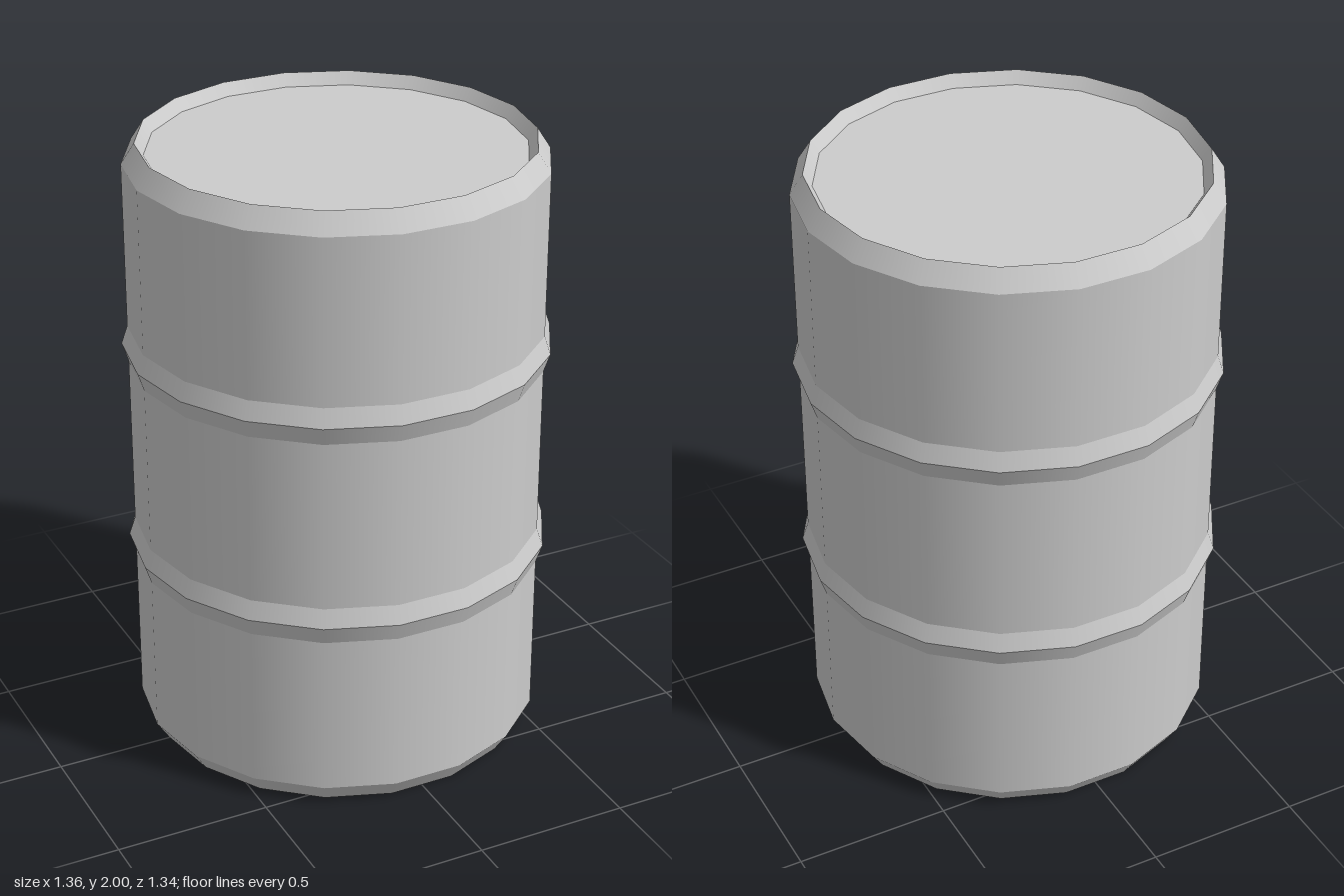
import * as THREE from 'three';

const SIDES = 18;

export function createModel() {
  const model = new THREE.Group();
  model.name = 'barrel';
  const steel = new THREE.MeshStandardMaterial({ color: 0xcccccc });
  steel.name = 'grey steel';

  // Each pair of profile points is its own lathe: smooth around, sharp between bands.
  function addPart(name, profile) {
    const part = new THREE.Group();
    part.name = name;
    for (let i = 0; i < profile.length - 1; i++) {
      const points = [profile[i], profile[i + 1]].map(([r, y]) => new THREE.Vector2(r, y));
      const band = new THREE.Mesh(new THREE.LatheGeometry(points, SIDES, Math.PI / 2), steel);
      band.name = `${name}Band${i + 1}`;
      part.add(band);
    }
    model.add(part);
  }

  const body = 0.66, rim = 0.618, ridge = 0.68;

  // Base disc and bottom chamfer
  addPart('base', [[0, 0], [rim, 0], [body, 0.065]]);

  // Three straight wall sections
  addPart('lowerWall', [[body, 0.065], [body, 0.6]]);
  addPart('middleWall', [[body, 0.72], [body, 1.28]]);
  addPart('upperWall', [[body, 1.4], [body, 1.935]]);

  // Two pointed rolling hoops
  addPart('lowerHoop', [[body, 0.6], [ridge, 0.66], [body, 0.72]]);
  addPart('upperHoop', [[body, 1.28], [ridge, 1.34], [body, 1.4]]);

  // Top chamfer, sloping inside of the rim and recessed lid
  addPart('rim', [[body, 1.935], [rim, 2], [0.591, 1.96]]);
  addPart('lid', [[0.591, 1.96], [0, 1.96]]);

  return model;
}
